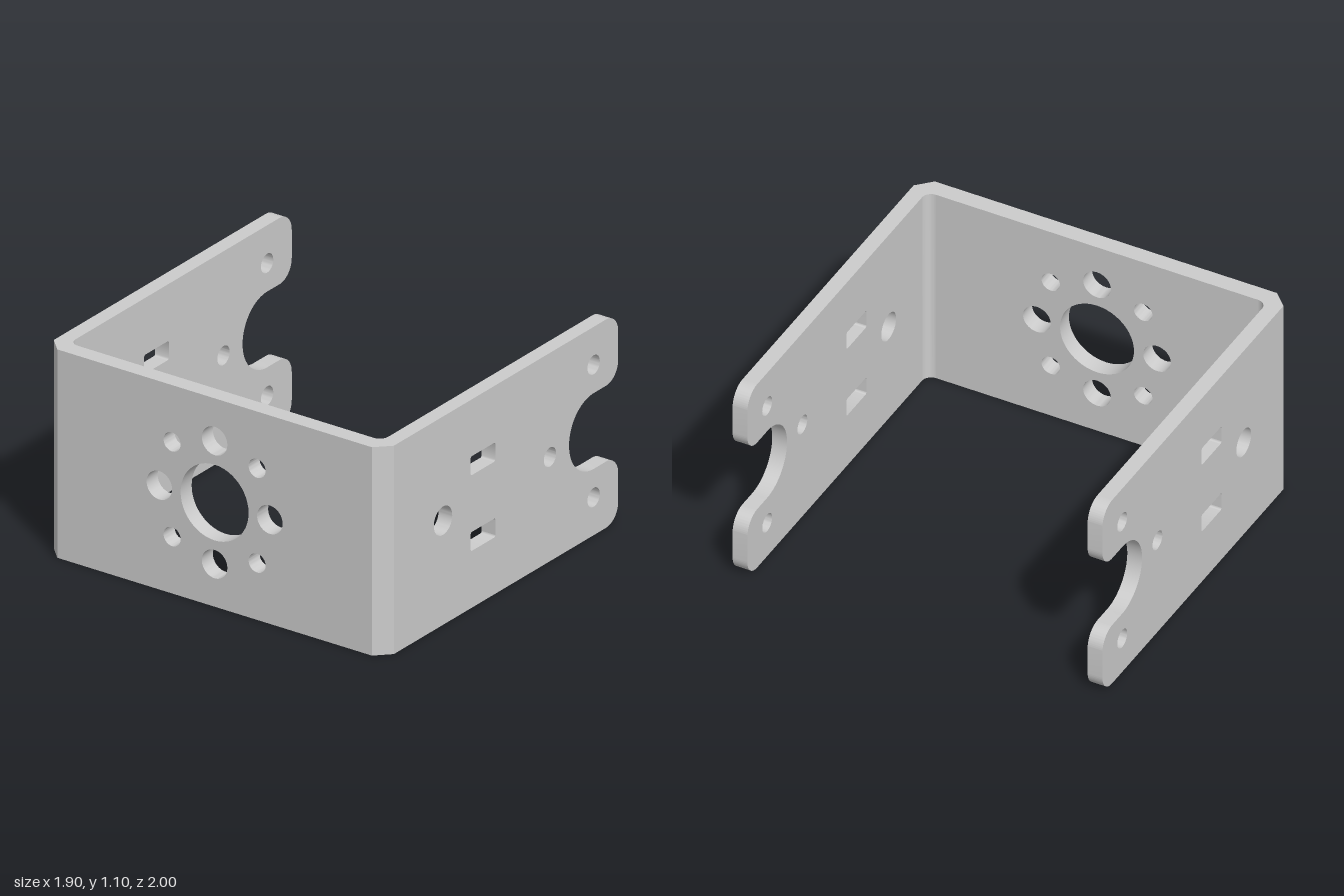
import * as THREE from 'three';
import { toCreasedNormals } from 'three/addons/utils/BufferGeometryUtils.js';

const H = 1.1, MID = H / 2;          // height and mid height
const X0 = -0.95, X1 = 0.95;         // back face and open end
const XI = -0.86, ZI = 0.92;         // inner faces of web and flanges
const R = 0.05;                      // inner bend radius
const XS = XI + R, ZS = ZI - R;      // seams where the flat sheets meet the bends

const material = new THREE.MeshStandardMaterial({ color: 0xcccccc });

function circleHole(x, y, r) {
  return new THREE.Path().absarc(x, y, r, 0, Math.PI * 2, true);
}

function slotHole(x, y, w, h, r = 0.01) {
  const p = new THREE.Path(), a = w / 2 - r, b = h / 2 - r, q = Math.PI / 2;
  p.absarc(x + a, y + b, r, 0, q);
  p.absarc(x - a, y + b, r, q, 2 * q);
  p.absarc(x - a, y - b, r, 2 * q, 3 * q);
  p.absarc(x + a, y - b, r, 3 * q, 4 * q);
  p.closePath();
  return p;
}

function extrude(shape, depth) {
  return new THREE.ExtrudeGeometry(shape, { depth, bevelEnabled: false, curveSegments: 24 });
}

// Leaves out the hidden faces on the seams, then smooths the curved walls
function sheetMesh(name, geometry, seams) {
  const pos = geometry.getAttribute('position');
  const kept = [];
  for (let i = 0; i < pos.count; i += 3) {
    const tri = [0, 1, 2].map((k) => new THREE.Vector3().fromBufferAttribute(pos, i + k));
    const hidden = seams.some(([axis, value]) => tri.every((v) => Math.abs(v[axis] - value) < 1e-4));
    if (!hidden) tri.forEach((v) => kept.push(v.x, v.y, v.z));
  }
  const g = new THREE.BufferGeometry();
  g.setAttribute('position', new THREE.Float32BufferAttribute(kept, 3));
  const mesh = new THREE.Mesh(toCreasedNormals(g, 0.5), material);
  mesh.name = name;
  return mesh;
}

// Side flange outline: rounded fork with a U-shaped notch at the open end
function flangeShape() {
  const s = new THREE.Shape(), q = Math.PI / 2, c = 0.1, n = 0.2;
  s.moveTo(XS, H);
  s.lineTo(XS, 0);
  s.absarc(X1 - c, c, c, -q, 0);
  s.absarc(X1 - c, MID - n - c, c, 0, q);
  s.absarc(0.75, MID, n, 3 * q, q, true);
  s.absarc(X1 - c, MID + n + c, c, -q, 0);
  s.absarc(X1 - c, H - c, c, 0, q);
  s.closePath();
  s.holes.push(
    circleHole(-0.475, MID, 0.075),
    circleHole(0.395, MID, 0.05),
    circleHole(0.75, MID + 0.35, 0.05),
    circleHole(0.75, MID - 0.35, 0.05),
    slotHole(-0.15, MID + 0.2, 0.2, 0.1),
    slotHole(-0.15, MID - 0.2, 0.2, 0.1)
  );
  return s;
}

// Web plate with a large bore and a ring of eight holes
function webShape() {
  const s = new THREE.Shape();
  s.moveTo(-ZS, 0);
  s.lineTo(ZS, 0);
  s.lineTo(ZS, H);
  s.lineTo(-ZS, H);
  s.closePath();
  s.holes.push(circleHole(0, MID, 0.2));
  for (let i = 0; i < 4; i++) {
    const a = i * Math.PI / 2, b = a + Math.PI / 4, d = 0.25 * Math.SQRT2;
    s.holes.push(circleHole(0.325 * Math.cos(a), MID + 0.325 * Math.sin(a), 0.075));
    s.holes.push(circleHole(d * Math.cos(b), MID + d * Math.sin(b), 0.05));
  }
  return s;
}

// Bend section seen from above: chamfer outside, fillet inside
function bendShape(side) {
  const pts = [[X0, ZS], [X0, 0.925], [-0.875, 1], [XS, 1]];
  for (let i = 0; i <= 12; i++) {
    const a = Math.PI / 2 * (1 + i / 12);
    pts.push([XS + R * Math.cos(a), ZS + R * Math.sin(a)]);
  }
  return new THREE.Shape(pts.map(([x, z]) => new THREE.Vector2(x, -side * z)));
}

export function createModel() {
  const bracket = new THREE.Group();
  bracket.name = 'bracket';

  const web = extrude(webShape(), XI - X0).rotateY(Math.PI / 2).translate(X0, 0, 0);
  bracket.add(sheetMesh('webPlate', web, [['z', ZS], ['z', -ZS]]));

  for (const side of [1, -1]) {
    const label = side > 0 ? 'front' : 'back';
    const flange = extrude(flangeShape(), 1 - ZI).translate(0, 0, side > 0 ? ZI : -1);
    bracket.add(sheetMesh(label + 'Flange', flange, [['x', XS]]));
    const bend = extrude(bendShape(side), H).rotateX(-Math.PI / 2);
    bracket.add(sheetMesh(label + 'Bend', bend, [['x', XS], ['z', side * ZS]]));
  }
  return bracket;
}
